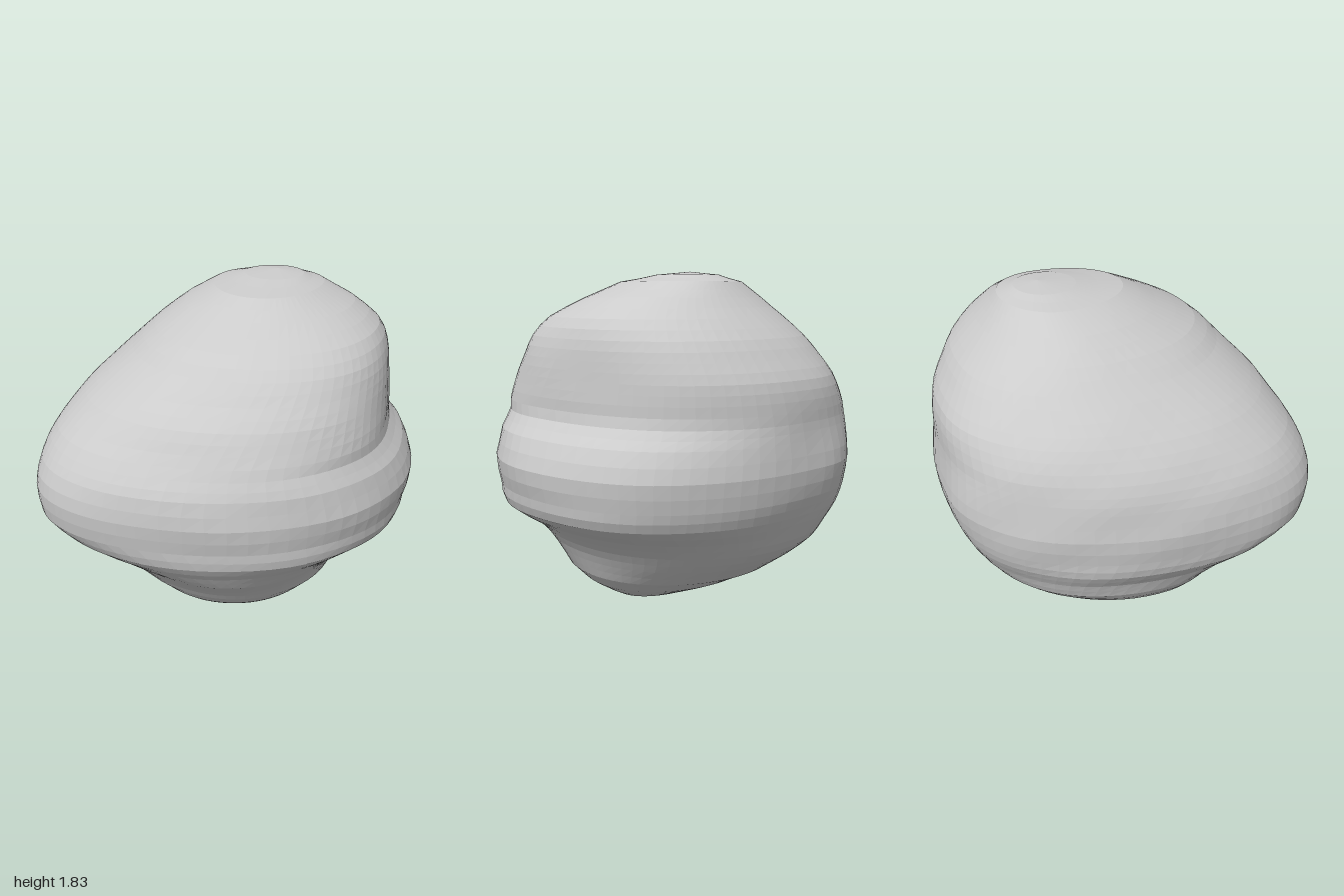
import * as THREE from 'three';

// Extents of the boulder by height: y, xMin, xMax, zMin, zMax
const EXTENTS = [
  [0.005, -0.22, 0.2, -0.1, 0.15],
  [0.025, -0.3, 0.34, -0.19, 0.25],
  [0.1, -0.47, 0.47, -0.37, 0.49],
  [0.14, -0.53, 0.52, -0.45, 0.56],
  [0.2, -0.63, 0.58, -0.57, 0.61],
  [0.3, -0.76, 0.63, -0.71, 0.69],
  [0.4, -0.83, 0.69, -0.82, 0.79],
  [0.5, -0.88, 0.8, -0.88, 0.87],
  [0.6, -0.96, 0.95, -0.93, 0.95],
  [0.7, -0.99, 0.975, -0.965, 0.975],
  [0.85, -1.0, 1.0, -0.99, 1.0],
  [1.0, -0.97, 0.94, -0.975, 0.98],
  [1.09, -0.935, 0.862, -0.965, 0.935],
  [1.2, -0.87, 0.85, -0.96, 0.87],
  [1.3, -0.79, 0.84, -0.94, 0.81],
  [1.4, -0.69, 0.83, -0.88, 0.72],
  [1.5, -0.58, 0.81, -0.81, 0.63],
  [1.6, -0.47, 0.755, -0.71, 0.52],
  [1.7, -0.33, 0.61, -0.61, 0.31],
  [1.78, -0.18, 0.43, -0.54, 0.14],
  [1.815, -0.02, 0.31, -0.45, -0.12],
];

// Outline character by height: y, z of the right tip, x of the front tip,
// z of the left tip, x of the back tip, then the squareness of the four
// corners (front right, front left, back left, back right)
const CORNERS = [
  [0, 0.02, 0.0, 0.02, 0.0, 2, 2, 2, 2],
  [0.4, 0.0, 0.0, 0.05, -0.1, 2, 1.8, 2.1, 2.1],
  [0.7, 0.0, -0.25, 0.35, -0.15, 2.1, 2.4, 2.1, 2.4],
  [0.95, 0.0, -0.25, 0.33, -0.15, 2.1, 2.4, 2.1, 2.4],
  [1.15, 0.1, -0.18, 0.2, -0.1, 2.2, 2.3, 2.2, 2.5],
  [1.5, -0.1, 0.05, -0.1, 0.05, 2.3, 2.1, 2.2, 2.3],
  [1.83, -0.3, 0.15, -0.3, 0.15, 2, 2, 2, 2],
];

function sample(table, y) {
  let i = 0;
  while (i < table.length - 2 && y > table[i + 1][0]) i++;
  const t = THREE.MathUtils.clamp((y - table[i][0]) / (table[i + 1][0] - table[i][0]), 0, 1);
  return table[i].map((v, k) => THREE.MathUtils.lerp(v, table[i + 1][k], t));
}

// One point of a closed outline whose quarters are superellipse arcs
function outlinePoint(extent, corner, angle) {
  const [, xMin, xMax, zMin, zMax] = extent;
  const [, zRight, xFront, zLeft, xBack] = corner;
  const c = Math.cos(angle), s = Math.sin(angle);
  const quarter = s >= 0 ? (c >= 0 ? 0 : 1) : (c < 0 ? 2 : 3);
  const power = 2 / corner[5 + quarter];
  const cx = s >= 0 ? xFront : xBack;
  const cz = c >= 0 ? zRight : zLeft;
  const x = cx + ((c >= 0 ? xMax : xMin) - cx) * Math.abs(c) ** power;
  const z = cz + ((s >= 0 ? zMax : zMin) - cz) * Math.abs(s) ** power;
  return [x, z];
}

function boulderGeometry(around = 72) {
  // Rings at each extent row, with one smooth ring between neighbours
  const rings = [];
  EXTENTS.forEach((row, i) => {
    rings.push(row);
    const next = EXTENTS[i + 1];
    if (!next) return;
    const before = EXTENTS[Math.max(i - 1, 0)];
    const after = EXTENTS[Math.min(i + 2, EXTENTS.length - 1)];
    rings.push(row.map((v, k) => (k === 0 ? (v + next[0]) / 2
      : (9 * (v + next[k]) - before[k] - after[k]) / 16)));
  });

  const positions = [], index = [];
  rings.forEach((ring) => {
    const corner = sample(CORNERS, ring[0]);
    for (let j = 0; j < around; j++) {
      const a = (j / around) * Math.PI * 2;
      const [x, z] = outlinePoint(ring, corner, a);
      // Slight weathering
      const wear = 1 + 0.004 * Math.sin(7 * x + 9 * ring[0]) * Math.sin(8 * z - 6 * ring[0]);
      positions.push(x * wear, ring[0], z * wear);
    }
  });
  for (let i = 0; i < rings.length - 1; i++) {
    for (let j = 0; j < around; j++) {
      const a = i * around + j, b = i * around + (j + 1) % around;
      index.push(a, a + around, b, b, a + around, b + around);
    }
  }

  // Underside and crown caps
  const bottom = positions.length / 3, top = bottom + 1;
  positions.push(0, 0, 0.02, 0.16, 1.83, -0.32);
  const last = (rings.length - 1) * around;
  for (let j = 0; j < around; j++) {
    const k = (j + 1) % around;
    index.push(bottom, j, k, top, last + k, last + j);
  }

  const geometry = new THREE.BufferGeometry();
  geometry.setAttribute('position', new THREE.Float32BufferAttribute(positions, 3));
  geometry.setIndex(index);
  geometry.computeVertexNormals();
  return geometry;
}

export function createModel() {
  const model = new THREE.Group();
  model.name = 'rock';
  const stone = new THREE.MeshStandardMaterial({ color: 0xcccccc, flatShading: true });
  const boulder = new THREE.Mesh(boulderGeometry(), stone);
  boulder.name = 'boulder';
  model.add(boulder);
  return model;
}
